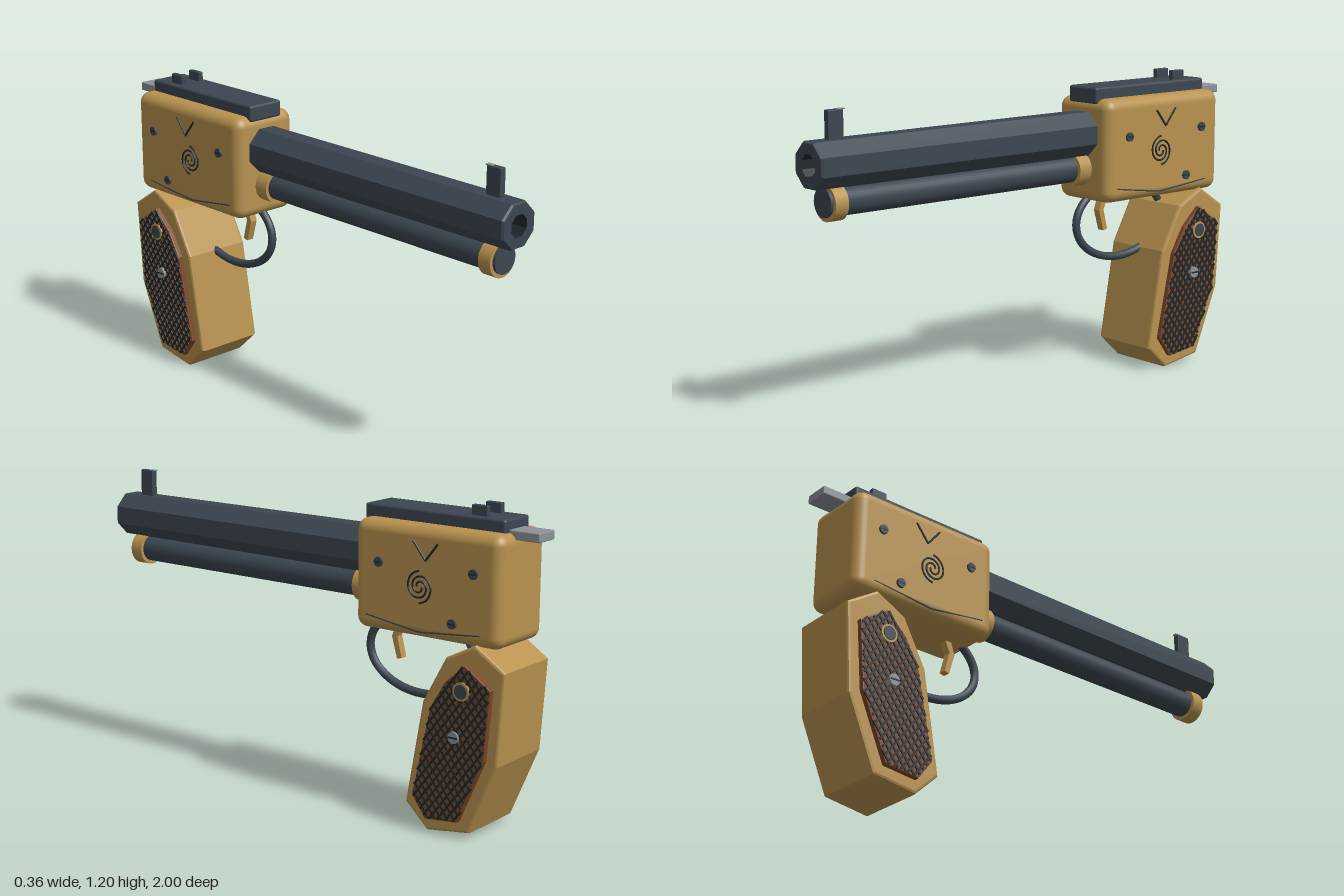
import * as THREE from 'three';
import { mergeGeometries } from 'three/addons/utils/BufferGeometryUtils.js';
import { RoundedBoxGeometry } from 'three/addons/geometries/RoundedBoxGeometry.js';

const paint = (name, color) => {
  const m = new THREE.MeshStandardMaterial({ color });
  m.name = name;
  return m;
};

export function createModel() {
  const brass = paint('brass', 0xb8924f);
  const steel = paint('blued steel', 0x3c4650);
  const dark = paint('dark engraving', 0x20282b);
  const wood = paint('wood', 0x7a4526);
  const silver = paint('silver', 0x8c9296);

  const model = new THREE.Group();
  const add = (name, geometry, material, x = 0, y = 0, z = 0) => {
    const mesh = new THREE.Mesh(geometry, material);
    mesh.name = name;
    mesh.position.set(x, y, z);
    model.add(mesh);
    return mesh;
  };
  const box = (w, h, d, r = 0.006) => new RoundedBoxGeometry(w, h, d, 2, r);
  const rodZ = (r, length) => new THREE.CylinderGeometry(r, r, length, 32).rotateX(Math.PI / 2);
  const discX = (r, depth) => new THREE.CylinderGeometry(r, r, depth, 24).rotateZ(Math.PI / 2);

  // Side outline given as [z, y] pairs, extruded across x and centred
  const sidePlate = (outline, width, bevel) => {
    const shape = new THREE.Shape(outline.map(([z, y]) => new THREE.Vector2(-z, y)));
    const g = new THREE.ExtrudeGeometry(shape, {
      depth: width - 2 * bevel, bevelEnabled: bevel > 0, bevelThickness: bevel,
      bevelSize: bevel, bevelOffset: -bevel, bevelSegments: 2,
    });
    return g.translate(0, 0, bevel - width / 2).rotateY(Math.PI / 2);
  };

  // Eight-sided turned part along z with flat faces; profile is [radius, z]
  const octagonal = (profile) => {
    const pts = profile.map(([r, z]) => new THREE.Vector2(r, z));
    const g = new THREE.LatheGeometry(pts, 8, Math.PI / 8).rotateX(Math.PI / 2).toNonIndexed();
    g.computeVertexNormals();
    return g;
  };

  // Thin line on a side face through [z, y] points
  const line = (points, x, radius, steps) => {
    const path = new THREE.CurvePath();
    const v = points.map(([z, y]) => new THREE.Vector3(x, y, z));
    for (let i = 1; i < v.length; i++) path.add(new THREE.LineCurve3(v[i - 1], v[i]));
    return new THREE.TubeGeometry(path, steps, radius, 6);
  };

  // Barrel with bore
  add('barrel', octagonal([[0.093, -0.32], [0.089, 0.992], [0.083, 1], [0.043, 1]]), steel, 0, 0.983);
  add('bore', octagonal([[0.043, 1], [0.043, 0.8], [0, 0.8]]), dark, 0, 0.983);

  // Tube below the barrel with two bands
  add('underTube', rodZ(0.053, 1.25), steel, 0, 0.848, 0.32);
  add('frontBand', rodZ(0.066, 0.055), brass, 0, 0.846, 0.907);
  add('rearBand', rodZ(0.066, 0.06), brass, 0, 0.846, -0.24);

  // Receiver, top rail, sights and hammer
  add('receiver', new RoundedBoxGeometry(0.288, 0.405, 0.63, 5, 0.042), brass, 0, 0.918, -0.595);
  add('topRail', box(0.156, 0.065, 0.6, 0.01), steel, 0, 1.133, -0.58);
  for (const s of [-1, 1]) add('rearSight', box(0.022, 0.05, 0.065, 0.003), steel, s * 0.044, 1.177, -0.758);
  add('frontSight', box(0.026, 0.11, 0.064, 0.003), steel, 0, 1.114, 0.89);
  add('sightBead', new THREE.BoxGeometry(0.02, 0.004, 0.03), silver, 0, 1.169, 0.865);
  add('hammer', box(0.1, 0.034, 0.2, 0.005), silver, 0, 1.112, -0.9);

  // Trigger guard and trigger
  const loop = [];
  for (let i = 0; i < 32; i++) {
    const a = (i / 32) * Math.PI * 2;
    loop.push(new THREE.Vector3(0, 0.62 + 0.153 * Math.sin(a), -0.485 + 0.235 * Math.cos(a)));
  }
  const guardCurve = new THREE.CatmullRomCurve3(loop, true);
  add('triggerGuard', new THREE.TubeGeometry(guardCurve, 64, 0.016, 10, true), steel);
  add('trigger', sidePlate([
    [-0.385, 0.74], [-0.36, 0.668], [-0.384, 0.585], [-0.405, 0.59], [-0.384, 0.67], [-0.415, 0.74],
  ], 0.03, 0), brass);

  // Grip
  add('grip', sidePlate([
    [-0.811, 0.727], [-0.937, 0.645], [-0.914, 0.303], [-0.8, 0.033],
    [-0.619, 0.006], [-0.522, 0.097], [-0.592, 0.49], [-0.688, 0.665],
  ], 0.288, 0.01), brass);

  // Chequering: two sets of thin strips clipped to the panel outline
  const panel = [
    [-0.782, 0.655], [-0.892, 0.58], [-0.87, 0.319], [-0.763, 0.072],
    [-0.624, 0.056], [-0.565, 0.137], [-0.64, 0.48], [-0.7, 0.58],
  ];
  const strips = [];
  for (const angle of [0.92, Math.PI - 0.92]) {
    const c = Math.cos(angle), s = Math.sin(angle);
    for (let k = -1.5; k < 1.5; k += 0.025) {
      const hits = [];
      panel.forEach((p, i) => {
        const q = panel[(i + 1) % panel.length];
        const dp = -s * p[0] + c * p[1] - k, dq = -s * q[0] + c * q[1] - k;
        if (dp * dq >= 0) return;
        const f = dp / (dp - dq);
        hits.push(c * (p[0] + f * (q[0] - p[0])) + s * (p[1] + f * (q[1] - p[1])));
      });
      if (hits.length < 2) continue;
      const length = Math.abs(hits[1] - hits[0]) - 0.012;
      if (length < 0.01) continue;
      const t = (hits[0] + hits[1]) / 2;
      strips.push(new THREE.BoxGeometry(0.006, 0.008, length).rotateX(-angle)
        .translate(0, s * t + c * k, c * t - s * k));
    }
  }
  const chequering = mergeGeometries(strips);

  // Two-armed spiral ornament
  const spiralArm = (turn) => {
    const pts = [];
    for (let i = 0; i <= 28; i++) {
      const a = turn + (i / 28) * Math.PI * 2.5, r = 0.01 + 0.048 * (i / 28);
      pts.push([-0.572 + r * Math.cos(a), 0.903 + r * Math.sin(a)]);
    }
    return pts;
  };

  // Details repeated on both sides
  for (const s of [-1, 1]) {
    add('gripPanel', sidePlate(panel, 0.024, 0.004), wood, s * 0.152);
    add('chequering', chequering, dark, s * 0.1655);
    add('medallionRing', discX(0.034, 0.012), brass, s * 0.166, 0.56, -0.774);
    add('medallion', discX(0.026, 0.016), steel, s * 0.167, 0.56, -0.774);
    add('gripScrew', discX(0.022, 0.016), silver, s * 0.168, 0.388, -0.747);
    add('screwSlot', new THREE.BoxGeometry(0.003, 0.006, 0.04), dark, s * 0.1765, 0.388, -0.747);
    for (const [z, y] of [[-0.394, 0.972], [-0.8, 0.978], [-0.715, 0.79]]) {
      add('receiverScrew', discX(0.018, 0.02), steel, s * 0.143, y, z);
      add('screwSlot', new THREE.BoxGeometry(0.002, 0.005, 0.03), dark, s * 0.1535, y, z);
    }
    add('chevronEngraving', line([[-0.544, 1.066], [-0.597, 1], [-0.65, 1.066]], s * 0.1445, 0.0045, 24), dark);
    for (const turn of [0, Math.PI]) add('spiralEngraving', line(spiralArm(turn), s * 0.1445, 0.004, 60), dark);
    add('edgeLine', line([[-0.335, 0.772], [-0.57, 0.739], [-0.83, 0.763]], s * 0.142, 0.0035, 24), steel);
  }
  return model;
}
